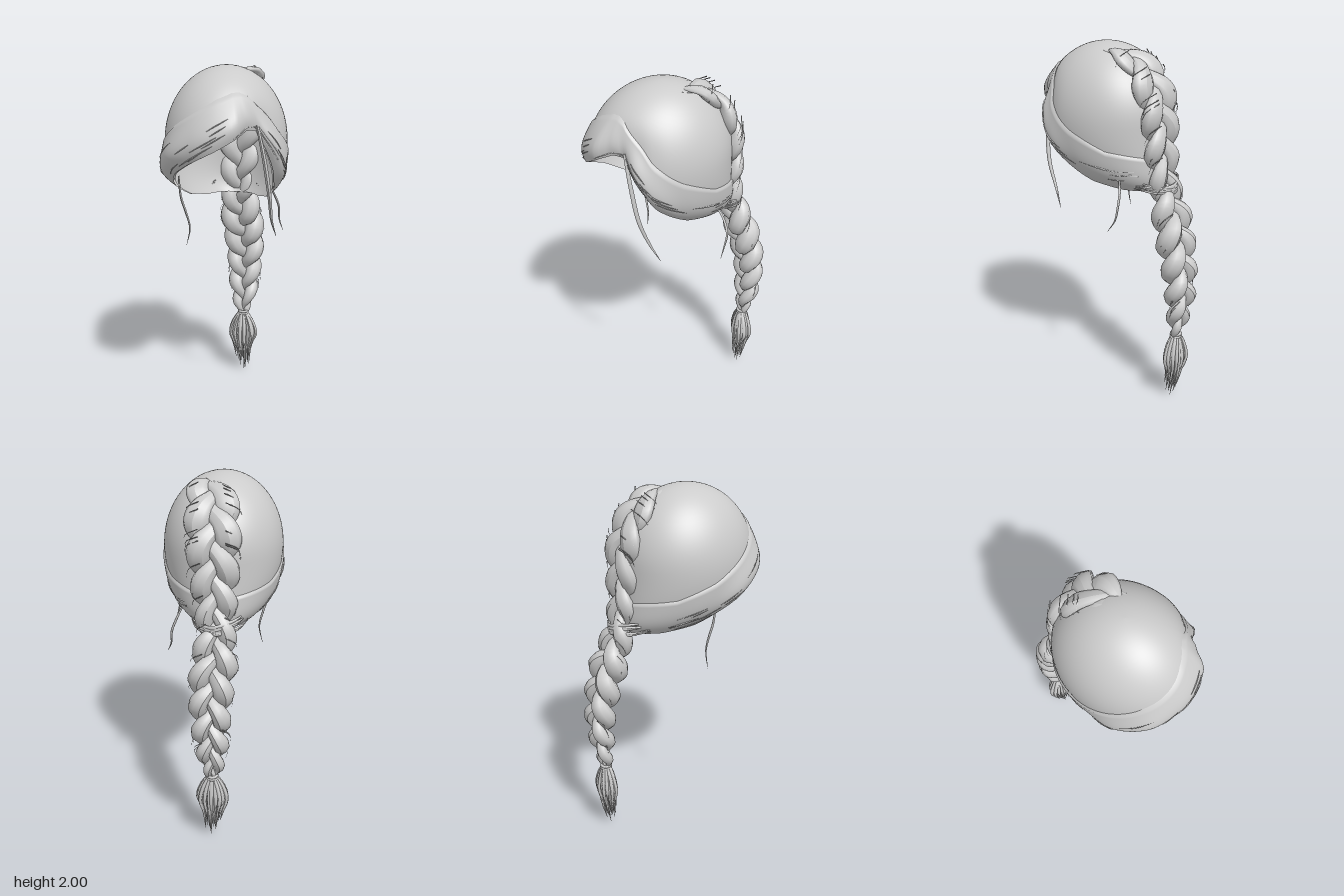
import * as THREE from 'three';
import { ParametricGeometry } from 'three/addons/geometries/ParametricGeometry.js';

const V = (x, y, z) => new THREE.Vector3(x, y, z);
const mat = new THREE.MeshStandardMaterial({ color: 0xcccccc, side: THREE.DoubleSide });

// small seeded generator
let seed = 7;
const rnd = (a, b) => {
  seed = (seed * 16807) % 2147483647;
  return a + (b - a) * (seed / 2147483647);
};

// piecewise interpolation of column c in rows keyed by column 0
function lookup(rows, k, c, smooth) {
  let i = 0;
  while (i < rows.length - 2 && k > rows[i + 1][0]) i++;
  let f = THREE.MathUtils.clamp((k - rows[i][0]) / (rows[i + 1][0] - rows[i][0]), 0, 1);
  if (smooth) f = f * f * (3 - 2 * f);
  return rows[i][c] + (rows[i + 1][c] - rows[i][c]) * f;
}

// hairline by azimuth (0 = front, 90 = left): band top, lower edge, band bulge, depth of the parting
const HAIRLINE = [
  [-180, 1.40, 1.23, 0.006, 0], [-120, 1.45, 1.24, 0.008, 0], [-90, 1.53, 1.275, 0.014, 0],
  [-65, 1.63, 1.37, 0.04, 0], [-45, 1.71, 1.46, 0.04, 0], [-20, 1.79, 1.54, 0.022, 0],
  [0, 1.85, 1.60, 0.02, 0], [18, 1.88, 1.66, 0.025, 0], [28, 1.88, 1.70, 0.02, 0.05],
  [36, 1.86, 1.69, 0.012, 0.08], [50, 1.78, 1.54, 0.035, 0.08], [65, 1.68, 1.40, 0.03, 0.055],
  [90, 1.57, 1.275, 0.012, 0], [120, 1.47, 1.24, 0.008, 0], [180, 1.40, 1.23, 0.006, 0],
];

// point on the egg-shaped head at an azimuth and height, pushed out by off
function headPoint(deg, y, off, target) {
  const a = THREE.MathUtils.degToRad(deg);
  const d = (y - 1.6) / (y > 1.6 ? 0.4 : 0.42);
  const r = Math.sqrt(Math.max(0, 1 - d * d));
  const below = Math.max(0, 1.6 - y) / 0.36;
  const shift = 0.17 * below * below * (1 - Math.cos(a)) / 2;
  const parting = lookup(HAIRLINE, deg, 4, true) * (1 - THREE.MathUtils.smoothstep(y, 1.7, 1.9));
  const depth = 0.3875 + 0.0075 * Math.cos(a) - parting;
  return target.set(
    Math.sin(a) * (0.33 * r + off), y,
    0.1 + Math.cos(a) * (depth * r + off) - shift);
}

function capPoint(u, v, target) {
  const deg = 180 - 360 * u;
  const yE = lookup(HAIRLINE, deg, 2);
  const tE = Math.acos((yE - 1.6) / (yE > 1.6 ? 0.4 : 0.42));
  const c = Math.cos(tE * v);
  headPoint(deg, 1.6 + c * (c > 0 ? 0.4 : 0.42), 0, target);
}

function bandPoint(u, v, target, lift = 0) {
  const deg = 180 - 360 * u;
  const top = lookup(HAIRLINE, deg, 1), low = lookup(HAIRLINE, deg, 2);
  const off = 0.01 + lookup(HAIRLINE, deg, 3, true) * Math.sin(Math.PI * Math.pow(v, 1.6));
  return headPoint(deg, top + (low - top) * v, (v === 0 ? 0 : off) + lift, target);
}

function add(parent, name, geo) {
  const m = new THREE.Mesh(geo, mat);
  m.name = name;
  parent.add(m);
  return m;
}

function sheet(parent, name, fn, nu, nv) {
  const g = new ParametricGeometry(fn, nu, nv);
  g.computeVertexNormals();
  return add(parent, name, g);
}

// tube whose radius follows radius(t); squash(q, t) may flatten each ring
function lock(parent, name, curve, seg, sides, radius, squash = () => {}) {
  const g = new THREE.TubeGeometry(curve, seg, 1, sides, false);
  const p = g.attributes.position, q = V(0, 0, 0);
  for (let i = 0; i <= seg; i++) {
    const c = curve.getPointAt(i / seg), t = curve.getUtoTmapping(i / seg), r = radius(t);
    for (let j = 0; j <= sides; j++) {
      const k = i * (sides + 1) + j;
      q.fromBufferAttribute(p, k).sub(c).multiplyScalar(r);
      squash(q, t);
      q.add(c);
      p.setXYZ(k, q.x, q.y, q.z);
    }
  }
  g.computeVertexNormals();
  return add(parent, name, g);
}

const spline = (pts) => new THREE.CatmullRomCurve3(pts.map((p) => V(...p)));

// plaited braid running from the crown down the back
function makeBraid() {
  const braid = new THREE.Group();
  braid.name = 'braid';
  const spine = spline([
    [0.075, 1.968, 0.035], [0.055, 1.945, -0.08], [0.035, 1.865, -0.185], [0.03, 1.7, -0.262],
    [0.02, 1.5, -0.28], [0.015, 1.33, -0.29], [0.01, 1.2, -0.322], [0.02, 1.05, -0.37],
    [0.03, 0.9, -0.41], [0.03, 0.7, -0.435], [0.025, 0.5, -0.42], [0.025, 0.4, -0.41]]);
  // position along the braid, half width, depth of the weave, flatness
  const WIDTH = [[0, 0.075, 0.04, 0.35], [0.08, 0.125, 0.1, 0.45], [0.2, 0.148, 0.14, 0.6],
    [0.38, 0.125, 0.17, 0.7], [0.5, 0.1, 0.22, 0.9], [0.62, 0.128, 0.27, 1], [0.75, 0.115, 0.27, 1],
    [0.88, 0.095, 0.27, 1], [0.96, 0.065, 0.27, 1], [1, 0.03, 0.2, 1]];
  const phase = (t, k) => Math.PI * 2 * (3 * t + 0.6 * t * t + k / 3);
  const X = V(1, 0, 0);
  const outward = (t) => X.clone().cross(spine.getTangent(t)).normalize();
  for (let k = 0; k < 3; k++) {
    const pts = [];
    for (let i = 0; i <= 100; i++) {
      const t = i / 100, w = lookup(WIDTH, t, 1), f = phase(t, k);
      pts.push(spine.getPointAt(t)
        .addScaledVector(X, 0.56 * w * Math.sin(f))
        .addScaledVector(outward(spine.getUtoTmapping(t)), lookup(WIDTH, t, 2) * w * Math.sin(2 * f)));
    }
    lock(braid, 'braidStrand', new THREE.CatmullRomCurve3(pts), 150, 9,
      (t) => lookup(WIDTH, t, 1) * (0.33 + 0.16 * Math.sin(phase(t, k)) ** 2) * Math.min(1, 0.3 + t * 20),
      (q, t) => {
        const n = outward(spine.getUtoTmapping(t));
        q.addScaledVector(n, (lookup(WIDTH, t, 3) - 1) * q.dot(n));
      });
  }
  // loose hairs along the braid
  for (let i = 0; i < 36; i++) {
    const t = rnd(0.05, 0.93), w = lookup(WIDTH, t, 1), side = i % 2 ? 1 : -1;
    const p = spine.getPointAt(t);
    lock(braid, 'looseHair', spline([
      [p.x + side * w * 0.5, p.y + 0.04, p.z - w * 0.4],
      [p.x + side * w * 0.97, p.y, p.z - w * 0.15],
      [p.x + side * w * rnd(0.85, 1.1), p.y - rnd(0.03, 0.06), p.z]]), 6, 3, (s) => 0.003 * (1.1 - s));
  }
  return braid;
}

// brush of tapered locks below the tie
function makeTassel() {
  const tassel = new THREE.Group();
  tassel.name = 'tassel';
  for (let i = 0; i < 2; i++) {
    const tie = add(tassel, 'hairTie', new THREE.TorusGeometry(0.026, 0.009, 6, 16));
    tie.rotation.x = Math.PI / 2;
    tie.position.set(0.025, 0.41 - i * 0.014, -0.41);
  }
  for (let i = 0; i < 44; i++) {
    const a = i * 2.4, f = Math.sqrt((i + 0.5) / 44);
    const c = Math.cos(a) * f, s = Math.sin(a) * f;
    const end = i === 0 ? 0 : rnd(0.03, 0.19);
    lock(tassel, 'tasselLock', spline([
      [0.025 + c * 0.018, 0.41, -0.41 + s * 0.018],
      [0.025 + c * 0.065, 0.34, -0.41 + s * 0.04],
      [0.025 + c * 0.088, 0.26, -0.41 + s * 0.052],
      [0.025 + c * 0.065, (0.26 + end) / 2, -0.405 + s * 0.042],
      [0.03 + c * 0.05, end, -0.385 + s * 0.03]]), 12, 5,
    (t) => 0.001 + 0.011 * Math.sin(Math.PI * Math.min(1, 0.25 + t * 0.75)));
  }
  return tassel;
}

export function createModel() {
  seed = 7;
  const hair = new THREE.Group();
  hair.name = 'braidedHair';

  // smooth crown, and the swept fringe and side band over it
  sheet(hair, 'crown', capPoint, 90, 28);
  sheet(hair, 'fringeBand', (u, v, t) => bandPoint(u, v, t), 120, 18);

  // fine hairs following the fringe and the sides
  const wisps = new THREE.Group();
  wisps.name = 'fineHairs';
  for (let i = 0; i < 36; i++) {
    const u0 = rnd(0.1, 0.82), len = rnd(0.03, 0.08), v0 = rnd(0.35, 0.93), pts = [];
    for (let j = 0; j <= 6; j++) {
      pts.push(bandPoint(u0 + len * j / 6, Math.min(0.99, v0 + 0.01 * j), V(0, 0, 0), 0.003));
    }
    lock(wisps, 'fineHair', new THREE.CatmullRomCurve3(pts), 10, 3, (t) => 0.0005 + 0.0025 * Math.sin(Math.PI * t));
  }
  hair.add(wisps);

  // hair gathered around the nape
  for (let i = 0; i < 6; i++) {
    const y = 1.245 + i * 0.008, w = rnd(0.13, 0.16), tilt = rnd(-0.02, 0.02);
    lock(hair, 'napeLock', spline([
      [-w, y + 0.015, -0.2], [-0.1, y + tilt, -0.3], [0.01, y - 0.01, -0.36],
      [0.11, y - tilt, -0.3], [w, y + 0.015, -0.2]]), 16, 5, (t) => 0.001 + 0.009 * Math.sin(Math.PI * t));
  }

  // hanging face and neck strands
  [
    [0.011, [[0.2, 1.72, 0.36], [0.235, 1.55, 0.345], [0.262, 1.35, 0.315], [0.27, 1.2, 0.26], [0.29, 1.1, 0.21]]],
    [0.006, [[-0.26, 1.4, 0.14], [-0.25, 1.28, 0.135], [-0.225, 1.19, 0.125], [-0.205, 1.1, 0.12], [-0.225, 1.0, 0.12]]],
    [0.006, [[0.2, 1.32, -0.14], [0.235, 1.25, -0.17], [0.265, 1.17, -0.18], [0.27, 1.1, -0.165], [0.295, 1.04, -0.135]]],
  ].forEach(([r, pts]) =>
    lock(hair, 'hangingStrand', spline(pts), 20, 5, (t) => 0.001 + r * Math.sin(Math.PI * (0.2 + 0.8 * t))));

  hair.add(makeBraid(), makeTassel());
  return hair;
}
